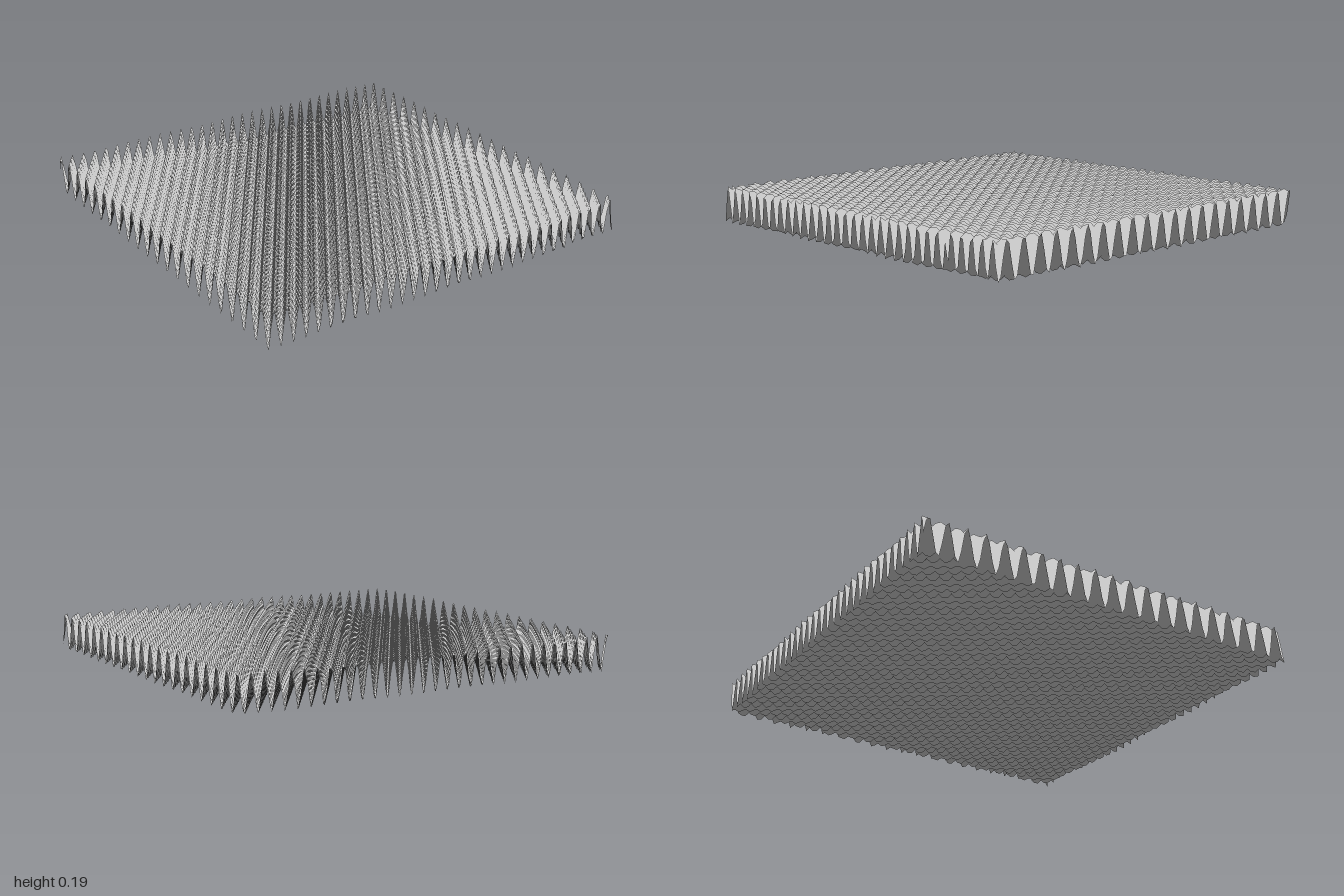
import * as THREE from 'three';

const CELLS = 128;      // grid cells per side
const HEIGHT = 0.185;   // full height between troughs and peaks
const MISSING = 20;     // cells left open at the end of the front row

// Fine diagonal ripple, sampled coarsely so that it breaks up into spikes
function ripple(i, j) {
  return HEIGHT * (0.5 + 0.5 * Math.sin(1.53 * i + 1.02 * j));
}

export function createModel() {
  const group = new THREE.Group();
  group.name = 'spikySheet';

  const grey = new THREE.MeshStandardMaterial({ color: 0xcccccc });
  grey.name = 'light grey';
  grey.side = THREE.DoubleSide;

  // Square grid raised into spikes; it keeps the flat grid's upward normals,
  // so the top reads as one even tone and the underside as another
  const geometry = new THREE.PlaneGeometry(2, 2, CELLS, CELLS).rotateX(-Math.PI / 2);
  const position = geometry.attributes.position;
  for (let j = 0; j <= CELLS; j++) {
    for (let i = 0; i <= CELLS; i++) {
      position.setY(j * (CELLS + 1) + i, ripple(i, j));
    }
  }

  // Open notch in the front row, on the left end
  const indices = Array.from(geometry.index.array);
  geometry.setIndex(indices.slice(0, indices.length - MISSING * 6));

  const sheet = new THREE.Mesh(geometry, grey);
  sheet.name = 'rippledSurface';
  group.add(sheet);
  return group;
}
